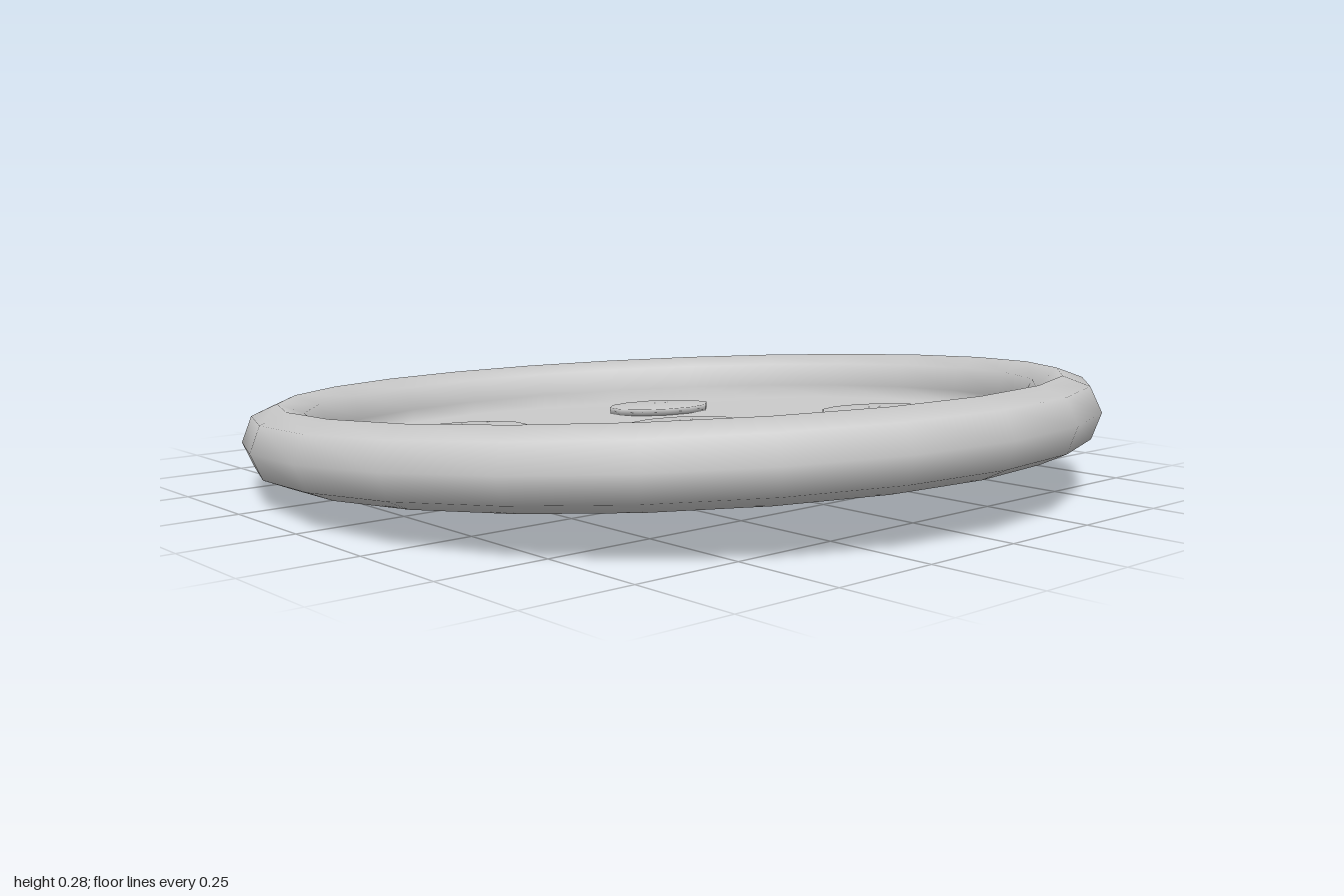
import * as THREE from 'three';

const material = new THREE.MeshStandardMaterial({ color: 0xcccccc });

// Turned part from a [radius, height] profile, running from the bottom axis outward and up
function turned(name, profile, sides) {
  const points = profile.map(([r, y]) => new THREE.Vector2(r, y));
  const mesh = new THREE.Mesh(new THREE.LatheGeometry(points, sides), material);
  mesh.name = name;
  return mesh;
}

export function createModel() {
  const model = new THREE.Group();
  model.name = 'toppedFlatBase';

  const tube = 0.083, ring = 0.917, floorY = -0.037;

  // Flat base with a raised eight-sided rounded rim and a sunken floor
  const profile = [[0, -tube]];
  for (let i = 0; i <= 6; i++) {
    const a = -Math.PI / 2 + (i * Math.PI) / 4;
    profile.push([ring + tube * Math.cos(a), tube * Math.sin(a)]);
  }
  profile.push([0.849, floorY], [0, floorY]);
  model.add(turned('baseWithRim', profile, 24));

  // Thin round slices on the floor: x, z, radius
  const slices = [
    [-0.01, -0.05, 0.135], [-0.415, -0.32, 0.135], [0.21, -0.5, 0.135],
    [0.56, 0.065, 0.135], [-0.425, 0.31, 0.155], [0.135, 0.475, 0.155],
  ];
  const t = 0.017;
  slices.forEach(([x, z, r], i) => {
    const slice = turned(`slice${i + 1}`, [[0, 0], [r, 0], [r, t], [0, t]], 12);
    slice.position.set(x, floorY, z);
    model.add(slice);
  });

  // The whole piece leans slightly, its left side raised
  model.rotation.z = 0.062;
  model.position.y = 0.14;
  const root = new THREE.Group();
  root.add(model);
  return root;
}
